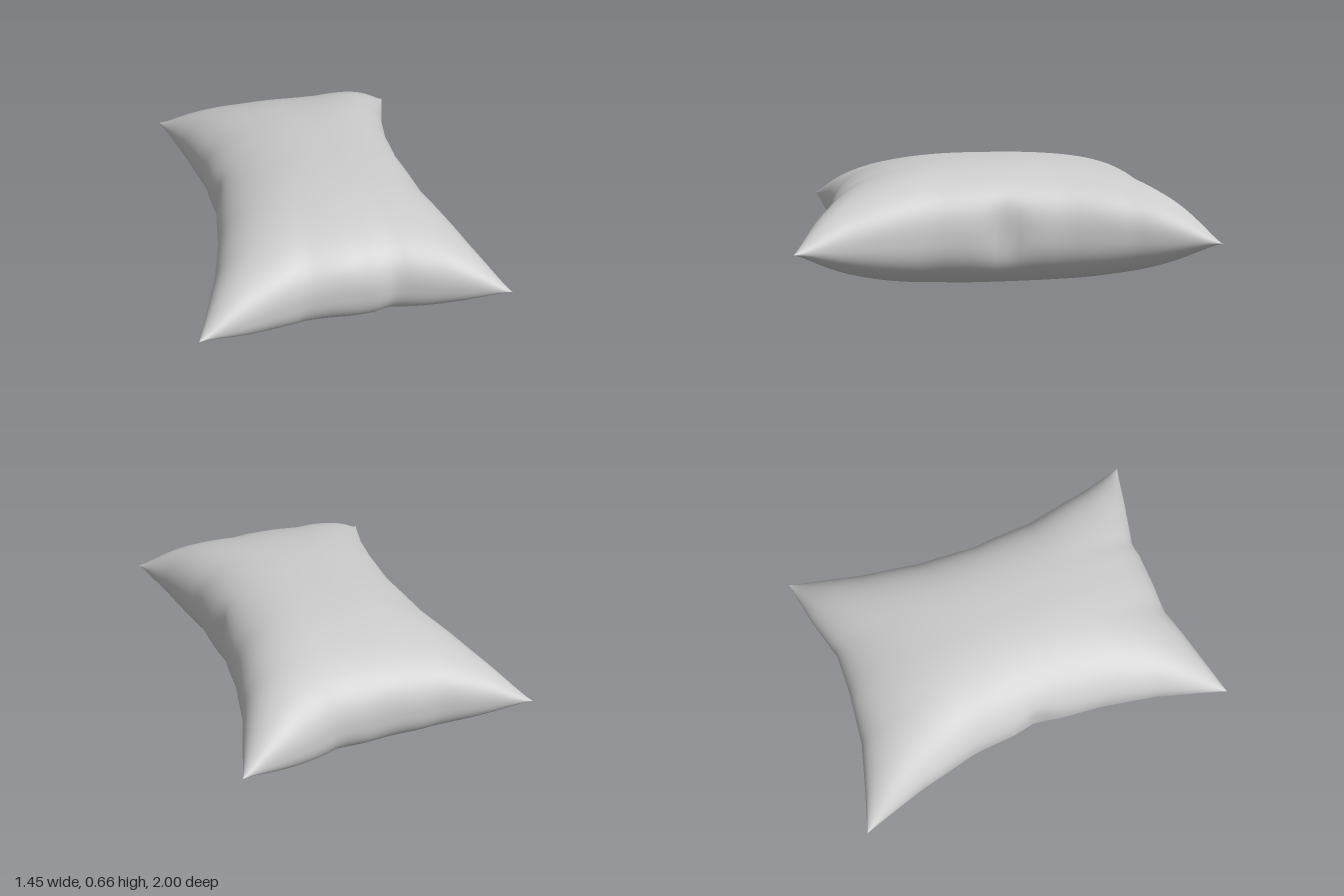
import * as THREE from 'three';
import { mergeGeometries, mergeVertices } from 'three/addons/utils/BufferGeometryUtils.js';

// Seam outline as [x, z] points, each side running left to right or back to front
const BACK = [[-0.7, -1], [-0.5, -0.94], [-0.28, -0.88], [0, -0.85], [0.22, -0.845], [0.46, -0.91], [0.72, -0.96]];
const FRONT = [[-0.73, 0.965], [-0.48, 0.905], [-0.23, 0.845], [0.12, 0.865], [0.18, 0.85], [0.43, 0.925], [0.69, 0.998]];
const LEFT = [[-0.7, -1], [-0.6, -0.68], [-0.525, -0.35], [-0.515, -0.1], [-0.52, 0.1], [-0.55, 0.35], [-0.61, 0.62], [-0.73, 0.965]];
const RIGHT = [[0.72, -0.96], [0.59, -0.58], [0.525, -0.28], [0.51, -0.1], [0.51, 0.11], [0.52, 0.37], [0.61, 0.75], [0.69, 0.998]];

// Point on a seam side; axis 0 looks it up along x, axis 1 along z
function along(points, t, axis) {
  const first = points[0][axis], last = points[points.length - 1][axis];
  const target = first + (last - first) * t;
  let i = 0;
  while (i < points.length - 2 && points[i + 1][axis] < target) i++;
  const [a, b] = [points[i], points[i + 1]];
  const k = (target - a[axis]) / (b[axis] - a[axis]);
  return [0, 1].map((c) => a[c] + (b[c] - a[c]) * k);
}

// Fills the seam outline smoothly: p and q run from 0 to 1
function insideSeam(p, q) {
  const back = along(BACK, p, 0), front = along(FRONT, p, 0);
  const left = along(LEFT, q, 1), right = along(RIGHT, q, 1);
  const corner = (c) => (1 - q) * ((1 - p) * LEFT[0][c] + p * RIGHT[0][c])
    + q * ((1 - p) * FRONT[0][c] + p * FRONT[FRONT.length - 1][c]);
  return [0, 1].map((c) => (1 - q) * back[c] + q * front[c] + (1 - p) * left[c] + p * right[c] - corner(c));
}

// One puffed half of the cushion; side is 1 for the top, -1 for the bottom
function half(side) {
  const geometry = new THREE.PlaneGeometry(2, 2, 80, 80);
  const pos = geometry.attributes.position;
  // Rows and columns crowd towards the seam, where the cloth turns steeply
  const ease = (s) => Math.sin(Math.PI / 2 * Math.sin(Math.PI / 2 * s));
  const fall = (s, power) => Math.max(0, 1 - Math.pow(Math.abs(s), power));
  for (let i = 0; i < pos.count; i++) {
    const u = ease(pos.getX(i)), v = ease(-pos.getY(i));
    const [x, z] = insideSeam((u + 1) / 2, (v + 1) / 2);
    const fu = fall(u, 2), fv = fall(v, 2);
    // Full in the middle, tapering to a point at each corner; fullest on the upper right
    const fullness = side > 0 && u > 0 ? 2.8 : 2.1;
    const puff = Math.pow(fall(u, fullness), 0.41 + 0.17 * Math.pow(v, 8))
      * Math.pow(fall(v, 2.5), 0.4 + 0.17 * Math.pow(u, 8));
    // Small gathers in the cloth, kept close to the middle of each side
    const nearEnd = Math.exp(-fv * 9) * fu * fu * Math.cos(u * 15 + side);
    const nearSide = Math.exp(-fu * 9) * fv * fv * Math.cos(v * 13 + side);
    const height = 0.328 * puff * (1 + 0.07 * nearEnd + 0.03 * nearSide);
    // The long sides are nipped in at their middle
    const nip = 0.035 * Math.sign(u) * Math.exp(-fu * 8 - Math.pow((v - 0.01) / 0.07, 2));
    pos.setXYZ(i, x - nip + side * 0.015 * fu * fv, 0.33 + 0.012 * v + side * height, z);
  }
  if (side < 0) geometry.index.array.reverse();
  geometry.deleteAttribute('uv');
  geometry.deleteAttribute('normal');
  return geometry;
}

export function createModel() {
  const group = new THREE.Group();
  group.name = 'pillow';
  // Both halves are welded along the seam for smooth shading
  const geometry = mergeVertices(mergeGeometries([half(1), half(-1)]), 1e-4);
  geometry.computeVertexNormals();
  const cushion = new THREE.Mesh(geometry, new THREE.MeshStandardMaterial({ color: 0xcccccc, roughness: 0.9 }));
  cushion.name = 'cushion';
  group.add(cushion);
  return group;
}
